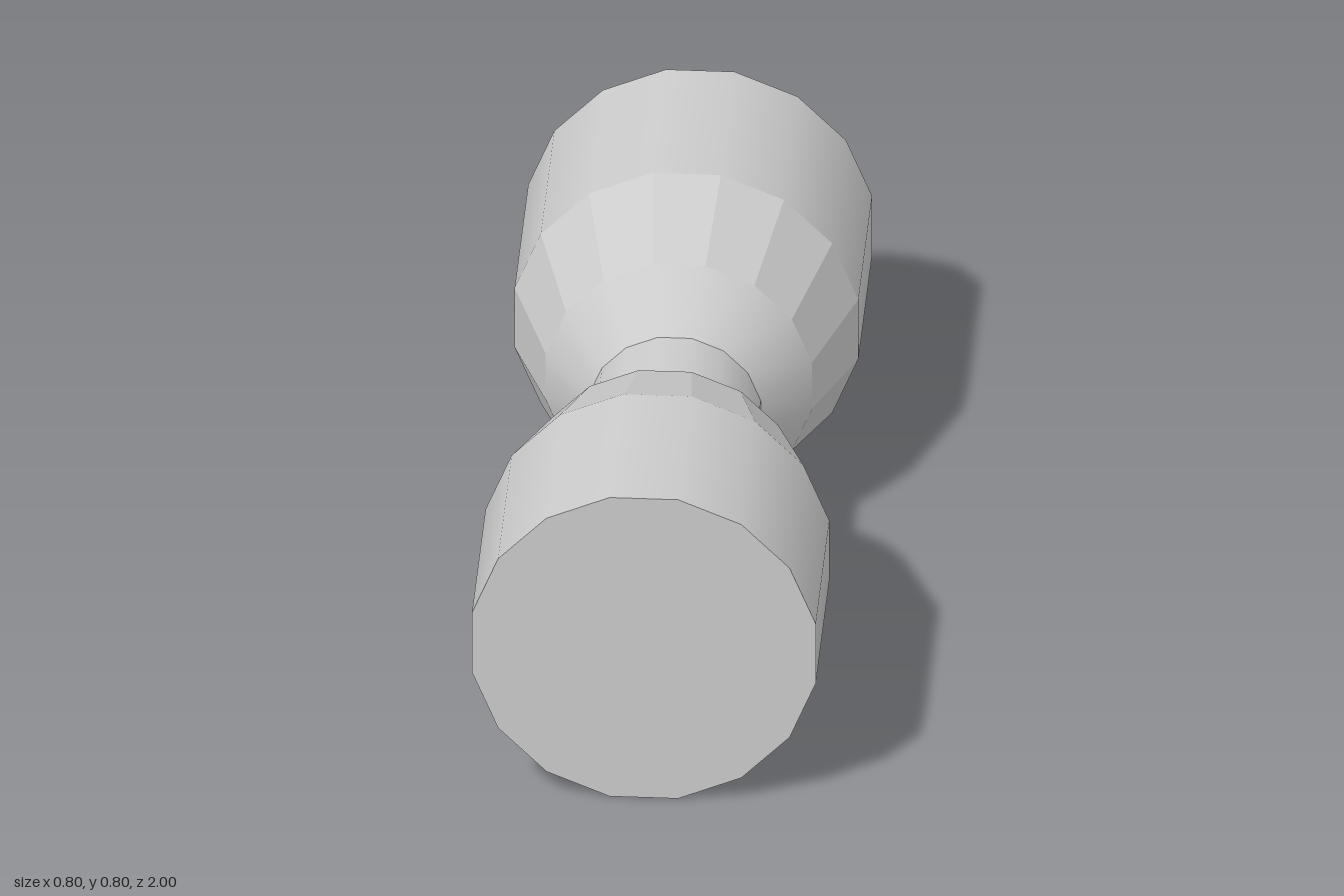
import * as THREE from 'three';

const SIDES = 16;
const HALF = Math.PI / SIDES;

export function createModel() {
  const model = new THREE.Group();
  model.name = 'dumbbell';
  const smooth = new THREE.MeshStandardMaterial({ color: 0xcccccc });
  const faceted = new THREE.MeshStandardMaterial({ color: 0xcccccc, flatShading: true });

  // Ring of 16 sides along z from z0 to z1; radii are measured to the flats
  function section(name, z0, r0, z1, r1, material) {
    const k = 1 / Math.cos(HALF);
    const geo = new THREE.CylinderGeometry(r1 * k, r0 * k, z1 - z0, SIDES, 1, true, HALF);
    geo.rotateX(Math.PI / 2).translate(0, 0, (z0 + z1) / 2);
    const mesh = new THREE.Mesh(geo, material);
    mesh.name = name;
    return mesh;
  }

  // Narrow grip between the two heads
  const grip = section('grip', -0.1, 0.2, 0.1, 0.2, smooth);
  grip.position.y = 0.4;
  model.add(grip);

  // Matching heads: smooth collar, faceted shoulder, smooth barrel, flat end
  for (const [name, turn] of [['frontHead', 0], ['backHead', Math.PI]]) {
    const head = new THREE.Group();
    head.name = name;
    const cap = new THREE.Mesh(
      new THREE.CircleGeometry(0.4 / Math.cos(HALF), SIDES, HALF), smooth);
    cap.name = 'endCap';
    cap.position.z = 1;
    head.add(
      section('collar', 0.1, 0.2, 0.247, 0.31, smooth),
      section('shoulder', 0.247, 0.31, 0.517, 0.4, faceted),
      section('barrel', 0.517, 0.4, 1, 0.4, smooth),
      cap);
    head.position.y = 0.4;
    head.rotation.y = turn;
    model.add(head);
  }
  return model;
}
